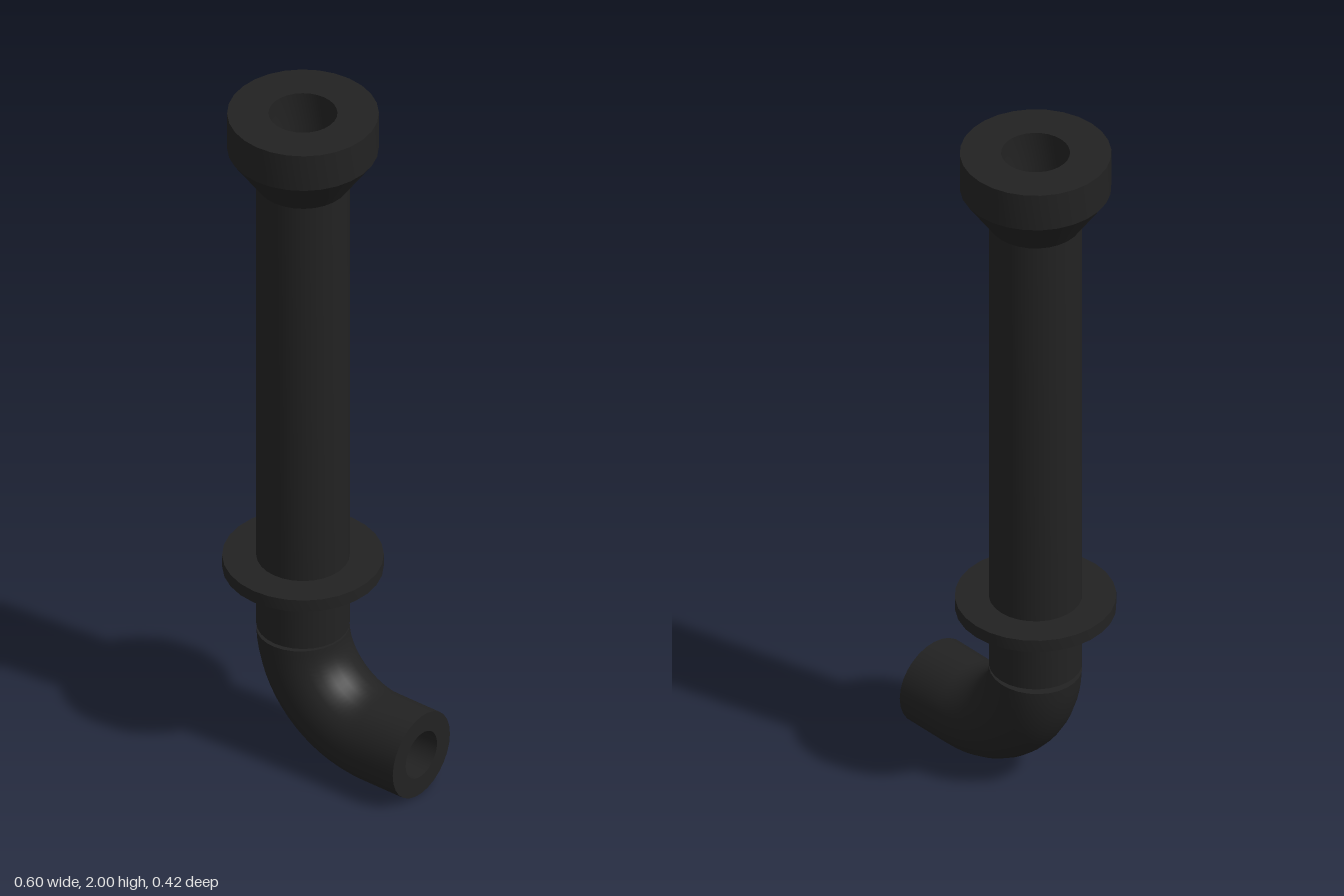
import * as THREE from 'three';
import { toCreasedNormals } from 'three/addons/utils/BufferGeometryUtils.js';

const SIDES = 28;
const AXIS_X = -0.09;
const PIPE_R = 0.122;
const BORE_R = 0.067;

const material = new THREE.MeshStandardMaterial({ color: 0x222222 });

// Revolve a closed profile of [radius, height] pairs
function revolve(points) {
  const loop = [...points, points[0]].map(([r, y]) => new THREE.Vector2(r, y));
  return new THREE.LatheGeometry(loop, SIDES, Math.PI / 2);
}

function addPart(group, name, geometry) {
  const mesh = new THREE.Mesh(toCreasedNormals(geometry, Math.PI / 6), material);
  mesh.name = name;
  group.add(mesh);
  return mesh;
}

// Hollow straight tube, rolled round a quarter circle and run out towards +x
function elbowGeometry() {
  const bendR = 0.255, centreX = AXIS_X + bendR, centreY = 0.38;
  const start = THREE.MathUtils.degToRad(2.5);
  const arcLength = (Math.PI / 2 - start) * bendR;
  const outlet = 0.3 - centreX;
  const rows = 16;
  const heights = [-arcLength - outlet];
  for (let i = rows; i >= 0; i--) heights.push((-arcLength * i) / rows);
  const outer = heights.map((y) => [PIPE_R, y]);
  const inner = heights.map((y) => [BORE_R, y]).reverse();
  const geometry = revolve([...outer, ...inner]);

  const p = geometry.attributes.position;
  for (let i = 0; i < p.count; i++) {
    const along = -p.getY(i);
    const angle = start + Math.min(along, arcLength) / bendR;
    const run = Math.max(along - arcLength, 0);
    const r = bendR - p.getX(i);
    p.setX(i, centreX - r * Math.cos(angle) + run);
    p.setY(i, centreY - r * Math.sin(angle));
  }
  return geometry;
}

export function createModel() {
  const model = new THREE.Group();
  model.name = 'pipe';

  // Upright pipe with a flared mouth and a tapered bore
  const upright = addPart(model, 'uprightPipe', revolve([
    [PIPE_R, 0.38], [PIPE_R, 1.78], [0.198, 1.89], [0.198, 2],
    [0.09, 2], [0.09, 1.89], [BORE_R, 1.78], [BORE_R, 0.38],
  ]));
  upright.position.x = AXIS_X;

  // Thin collar round the lower pipe
  const collar = addPart(model, 'collar', revolve([
    [PIPE_R - 0.01, 0.56], [0.211, 0.56], [0.211, 0.596], [PIPE_R - 0.01, 0.596],
  ]));
  collar.position.x = AXIS_X;

  // Curved outlet
  addPart(model, 'elbow', elbowGeometry());

  return model;
}
